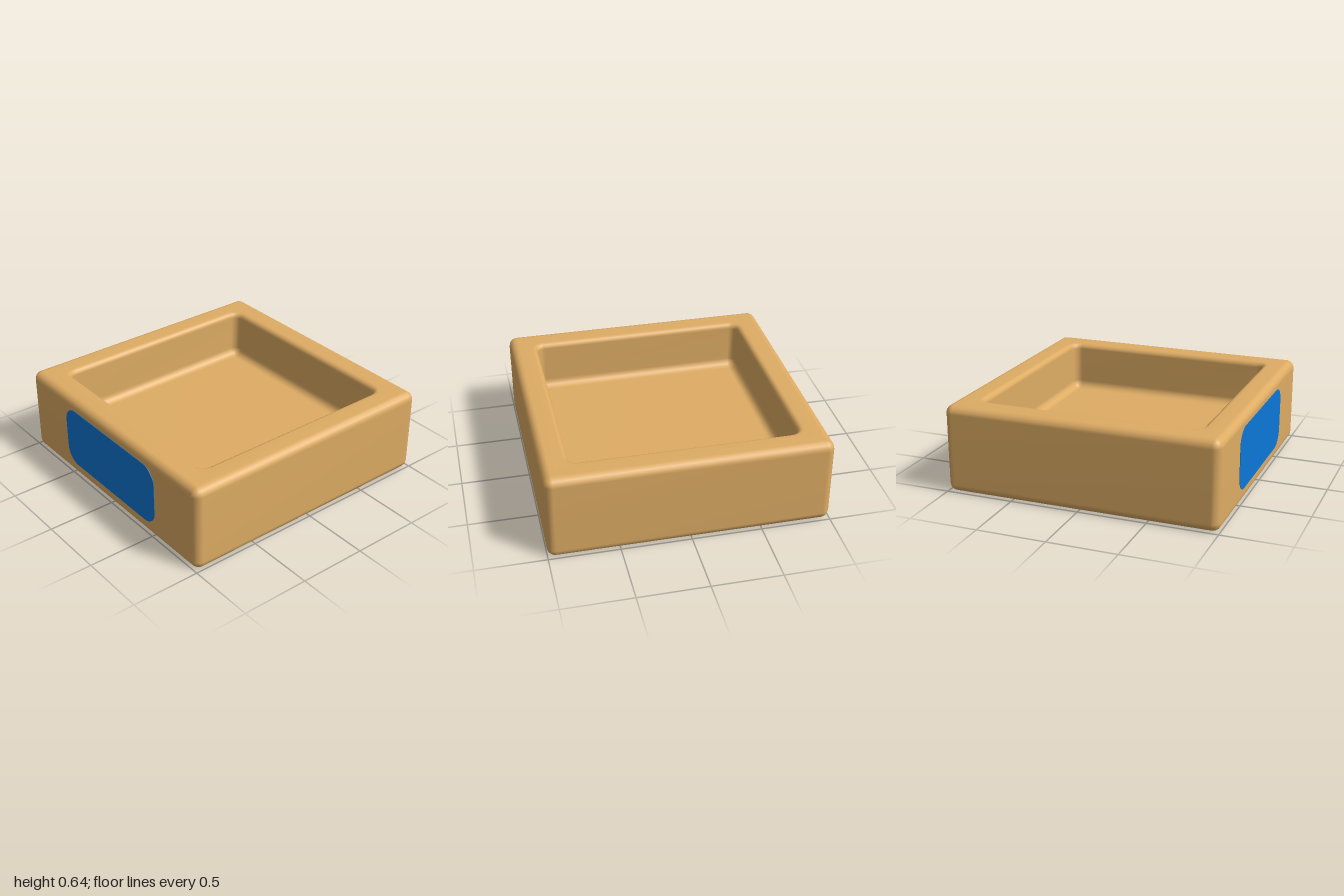
import * as THREE from 'three';
import { mergeVertices } from 'three/addons/utils/BufferGeometryUtils.js';

const BEVEL = 0.06, HEIGHT = 0.64, INNER = 0.8, FLOOR = 0.27, LIP = 0.04, STEPS = 4;

// Quarter arc in the profile plane, as [half width, height] pairs
function arc(cx, cy, r, from, to) {
  return Array.from({ length: STEPS + 1 }, (_, i) => {
    const a = THREE.MathUtils.degToRad(from + (to - from) * i / STEPS);
    return [cx + r * Math.cos(a), cy + r * Math.sin(a)];
  });
}

// Rounded square ring of points; cx is the centre of the corner rounding
function ring(half, y, cx) {
  const points = [], c = Math.min(cx, half), r = half - c;
  for (let k = 0; k < 4; k++) {
    const mid = Math.PI / 4 + k * Math.PI / 2;
    const sx = Math.sign(Math.cos(mid)), sz = Math.sign(Math.sin(mid));
    for (let i = 0; i <= STEPS; i++) {
      const a = (k + i / STEPS) * Math.PI / 2;
      points.push([sx * c + r * Math.cos(a), y, sz * c + r * Math.sin(a)]);
    }
  }
  return points;
}

// Skin neighbouring rings into one smooth surface
function skin(rings) {
  const n = rings[0].length, index = [];
  for (let i = 0; i < rings.length - 1; i++) {
    for (let j = 0; j < n; j++) {
      const a = i * n + j, b = i * n + (j + 1) % n;
      index.push(a, a + n, b, b, a + n, b + n);
    }
  }
  const geometry = new THREE.BufferGeometry();
  geometry.setAttribute('position', new THREE.Float32BufferAttribute(rings.flat(2), 3));
  geometry.setIndex(index);
  const merged = mergeVertices(geometry, 1e-4);
  merged.computeVertexNormals();
  return merged;
}

function roundedRect(w, h, r) {
  const x = w / 2, y = h / 2, s = new THREE.Shape();
  s.absarc(x - r, y - r, r, 0, Math.PI / 2);
  s.absarc(-x + r, y - r, r, Math.PI / 2, Math.PI);
  s.absarc(-x + r, -y + r, r, Math.PI, Math.PI * 1.5);
  s.absarc(x - r, -y + r, r, Math.PI * 1.5, Math.PI * 2);
  return s;
}

export function createModel() {
  const tan = new THREE.MeshStandardMaterial({ color: 0xdeac64 });
  tan.name = 'tan';
  const blue = new THREE.MeshStandardMaterial({ color: 0x0d78d8 });
  blue.name = 'blue';
  const model = new THREE.Group();
  model.name = 'openTray';

  // Tray: outer shell from the underside up to the rim, then down into the hollow
  const edge = 1 - BEVEL, foot = INNER - BEVEL;
  const outer = [
    [0, 0],
    ...arc(edge, BEVEL, BEVEL, -90, 0),
    ...arc(edge, HEIGHT - BEVEL, BEVEL, 0, 90),
  ].map(([h, y]) => ring(h, y, edge));
  const inner = [
    ...arc(INNER + LIP, HEIGHT - LIP, LIP, 90, 180),
    ...arc(foot, FLOOR + BEVEL, BEVEL, 0, -90),
    [0, FLOOR],
  ].map(([h, y]) => ring(h, y, foot));
  const tray = new THREE.Mesh(skin([...outer, ...inner]), tan);
  tray.name = 'tray';
  model.add(tray);

  // Front label: thin rounded plate
  const plate = new THREE.ExtrudeGeometry(roundedRect(1.08, 0.46, 0.12), {
    depth: 0.006, bevelEnabled: false, curveSegments: 8,
  });
  const label = new THREE.Mesh(plate, blue);
  label.name = 'frontLabel';
  label.position.set(0, 0.33, 0.997);
  model.add(label);

  return model;
}
